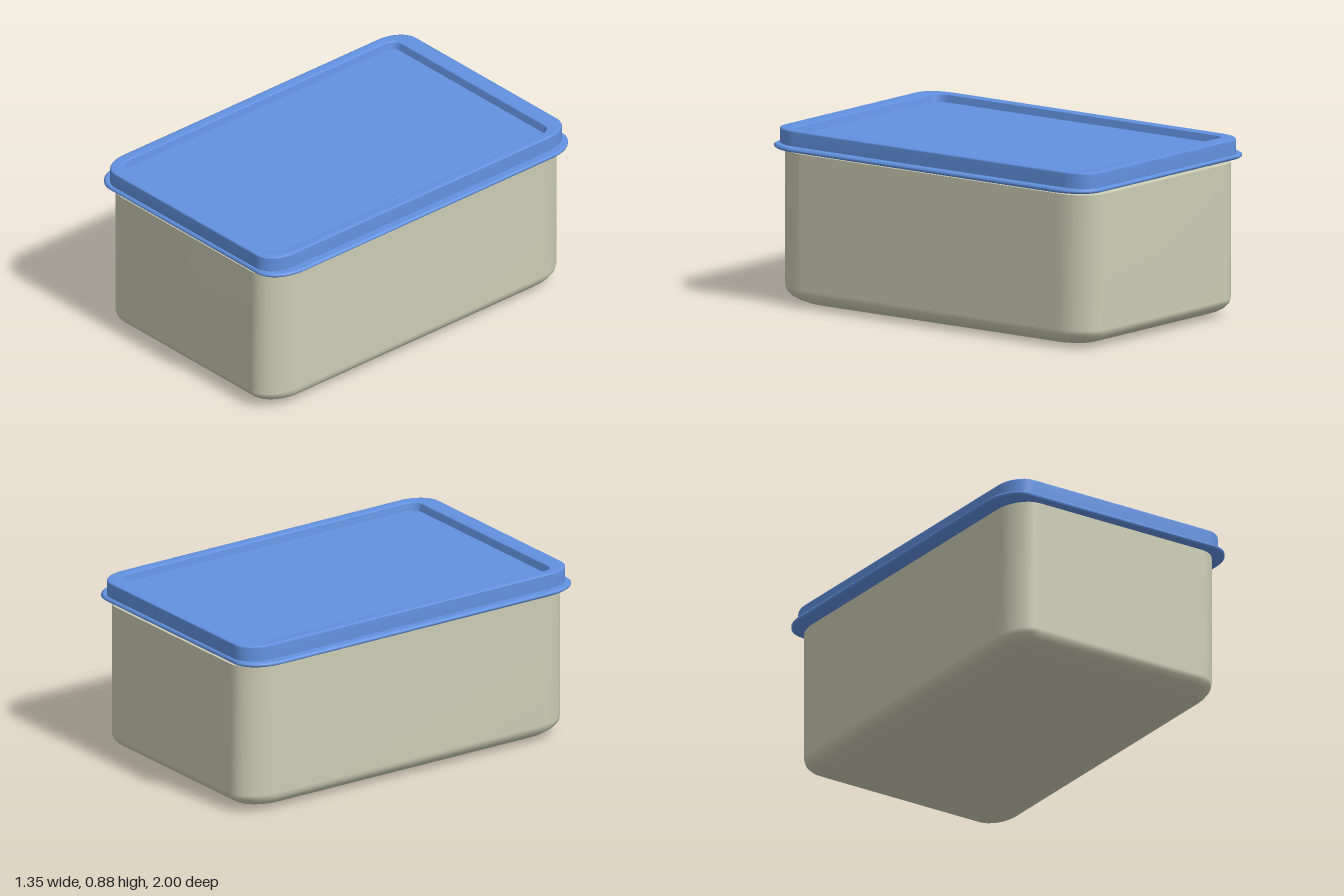
import * as THREE from 'three';
import { mergeGeometries } from 'three/addons/utils/BufferGeometryUtils.js';

const CORNER_STEPS = 8;

// One rounded-rectangle outline: half sizes hx, hz, corner radii rx, rz, height y
function outline([hx, hz, rx, rz, y]) {
  const points = [];
  const signs = [[1, 1], [-1, 1], [-1, -1], [1, -1]];
  signs.forEach(([sx, sz], corner) => {
    for (let i = 0; i <= CORNER_STEPS; i++) {
      const a = (corner + i / CORNER_STEPS) * Math.PI / 2;
      points.push(sx * (hx - rx) + rx * Math.cos(a), y, sz * (hz - rz) + rz * Math.sin(a));
    }
  });
  return points;
}

// Smooth skin through outlines, running up the outside and in over the top
function skin(sections) {
  const n = 4 * (CORNER_STEPS + 1);
  const index = [];
  for (let s = 0; s < sections.length - 1; s++) {
    for (let i = 0; i < n; i++) {
      const a = s * n + i, b = s * n + (i + 1) % n;
      index.push(a, a + n, b, b, a + n, b + n);
    }
  }
  const geometry = new THREE.BufferGeometry();
  geometry.setAttribute('position', new THREE.Float32BufferAttribute(sections.flatMap(outline), 3));
  geometry.setIndex(index);
  geometry.computeVertexNormals();
  return geometry;
}

// Several skins in one mesh, with a sharp edge where they meet
function part(name, material, skins) {
  const mesh = new THREE.Mesh(mergeGeometries(skins.map(skin)), material);
  mesh.name = name;
  return mesh;
}

const centre = (y) => [0, 0, 0, 0, y];

export function createModel() {
  const tan = new THREE.MeshStandardMaterial({ color: 0xcccdb4 });
  tan.name = 'tan plastic';
  const blue = new THREE.MeshStandardMaterial({ color: 0x6291e0 });
  blue.name = 'blue plastic';

  const group = new THREE.Group();
  group.name = 'foodContainer';

  // Tub with a rounded bottom edge
  const bottomEdge = [];
  for (let i = 0; i <= 6; i++) {
    const a = (i / 6) * Math.PI / 2;
    const inset = 1 - Math.sin(a);
    bottomEdge.push([0.61 - 0.14 * inset, 0.98 - 0.2 * inset,
      0.13 - 0.06 * inset, 0.18 - 0.09 * inset, 0.09 * (1 - Math.cos(a))]);
  }
  const tubTop = [0.61, 0.98, 0.13, 0.18, 0.765];
  group.add(part('tub', tan, [
    [centre(0), bottomEdge[0]],
    [...bottomEdge, tubTop],
    [tubTop, [0.58, 0.93, 0.1, 0.13, 0.768]],
  ]));

  // Narrow neck under the lid
  const neckTop = [0.58, 0.93, 0.1, 0.13, 0.79];
  group.add(part('neck', tan, [
    [[0.58, 0.93, 0.1, 0.13, 0.765], neckTop],
    [neckTop, centre(0.79)],
  ]));

  // Flange around the lid, with a softened outer edge
  group.add(part('lidFlange', blue, [
    [centre(0.783), [0.667, 0.992, 0.13, 0.18, 0.783]],
    [[0.667, 0.992, 0.13, 0.18, 0.783], [0.675, 1, 0.135, 0.185, 0.789],
      [0.675, 1, 0.135, 0.185, 0.798], [0.667, 0.992, 0.13, 0.18, 0.804]],
    [[0.667, 0.992, 0.13, 0.18, 0.804], [0.62, 0.97, 0.11, 0.15, 0.804]],
  ]));

  // Raised lid rim and the recessed panel inside it
  const floorEdge = [0.57, 0.885, 0.045, 0.06, 0.84];
  group.add(part('lidRim', blue, [
    [[0.63, 0.985, 0.11, 0.15, 0.8], [0.63, 0.985, 0.11, 0.15, 0.873],
      [0.627, 0.982, 0.108, 0.147, 0.879], [0.62, 0.975, 0.104, 0.142, 0.881],
      [0.582, 0.902, 0.055, 0.07, 0.881], [0.576, 0.894, 0.05, 0.065, 0.876]],
    [[0.576, 0.894, 0.05, 0.065, 0.876], floorEdge],
  ]));
  group.add(part('lidPanel', blue, [[floorEdge, centre(0.84)]]));

  return group;
}
